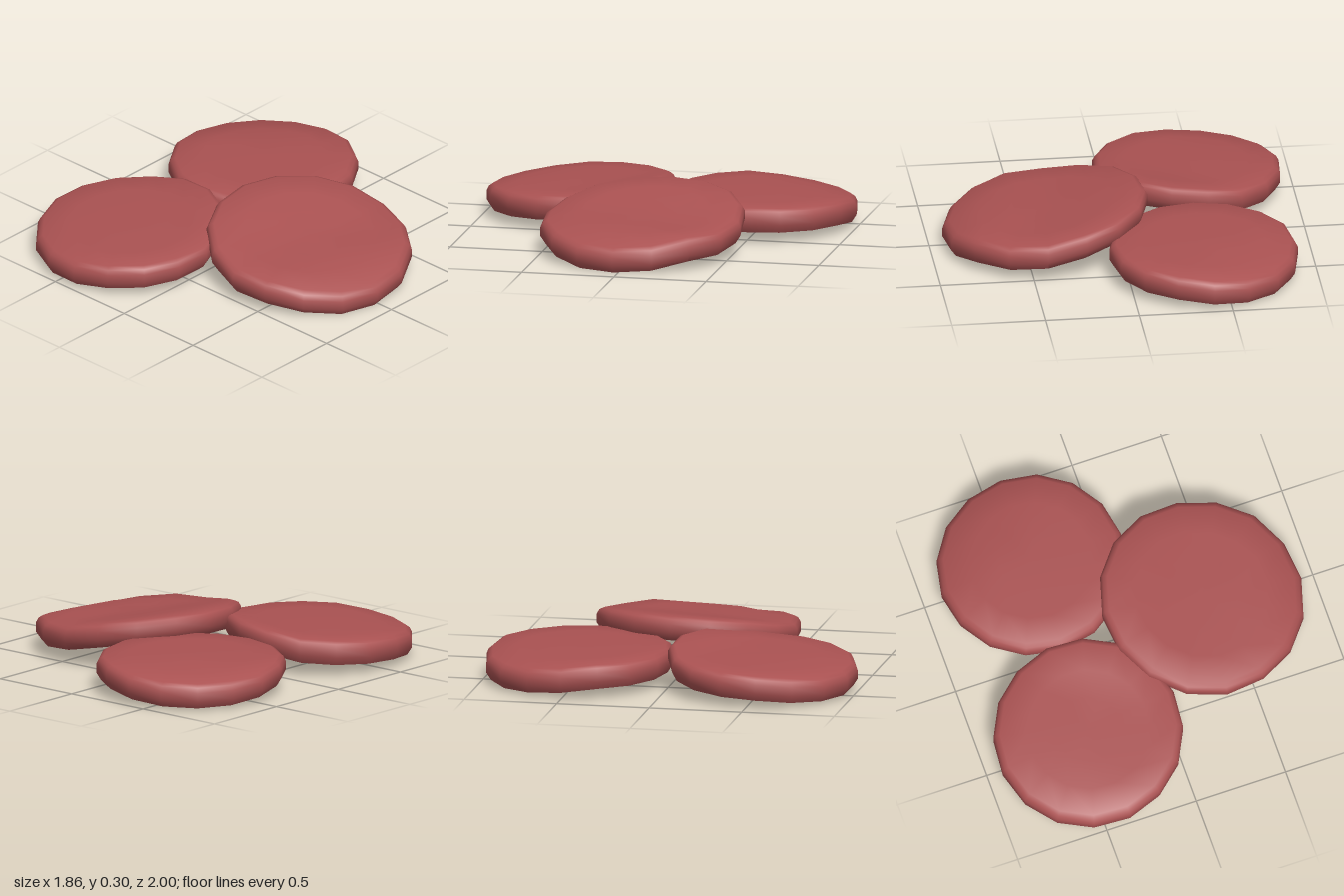
import * as THREE from 'three';
import { toCreasedNormals } from 'three/addons/utils/BufferGeometryUtils.js';

// Disc cross-section: radius (as a fraction), height above the underside
const PROFILE = [
  [0, 0], [0.35, 0], [0.7, 0], [0.95, 0], [1, 0.042], [1, 0.09],
  [0.975, 0.115], [0.93, 0.128], [0.65, 0.133], [0.35, 0.136], [0, 0.138],
];

// Underside height along the bend direction, from outer edge (-1) to inner edge (+1)
const BACK_BEND = [[-1, 0.008], [-0.4, 0.053], [1, 0.062]];
const FRONT_BEND = [[-1, 0.01], [-0.57, 0.042], [0.5, 0.07], [1, 0.128]];
const TOP_BEND = [
  [-1, -0.004], [-0.9, 0.004], [-0.6, 0.052], [-0.1, 0.062], [0.2, 0.09], [0.6, 0.14], [1, 0.175],
];

function sample(curve, t) {
  let i = 1;
  while (i < curve.length - 1 && t > curve[i][0]) i++;
  const [t0, y0] = curve[i - 1], [t1, y1] = curve[i];
  return THREE.MathUtils.mapLinear(t, t0, t1, y0, y1);
}

// A 16-sided disc, curled along the direction (dx, dz)
function bentDisc(radius, phase, dx, dz, curve) {
  const points = PROFILE.map(([r, y]) => new THREE.Vector2(r * radius, y));
  const geometry = new THREE.LatheGeometry(points, 16, phase);
  const pos = geometry.attributes.position;
  for (let i = 0; i < pos.count; i++) {
    const t = (pos.getX(i) * dx + pos.getZ(i) * dz) / radius;
    pos.setY(i, pos.getY(i) + sample(curve, t));
  }
  return toCreasedNormals(geometry, THREE.MathUtils.degToRad(56));
}

export function createModel() {
  const model = new THREE.Group();
  model.name = 'slices';
  const material = new THREE.MeshStandardMaterial({ color: 0xaa5252 });

  // Two lower slices and one larger slice resting on their inner edges
  const slices = [
    ['backSlice', -0.402, -0.5, 0.502, 0, 0.71, 0.71, BACK_BEND],
    ['frontSlice', -0.43, 0.497, 0.503, 0.12, 0.43, -0.9, FRONT_BEND],
    ['topSlice', 0.385, -0.018, 0.543, -0.085, -0.98, -0.2, TOP_BEND],
  ];
  for (const [name, x, z, radius, phase, dx, dz, curve] of slices) {
    const slice = new THREE.Mesh(bentDisc(radius, phase, dx, dz, curve), material);
    slice.name = name;
    slice.position.set(x, 0, z);
    model.add(slice);
  }
  return model;
}
